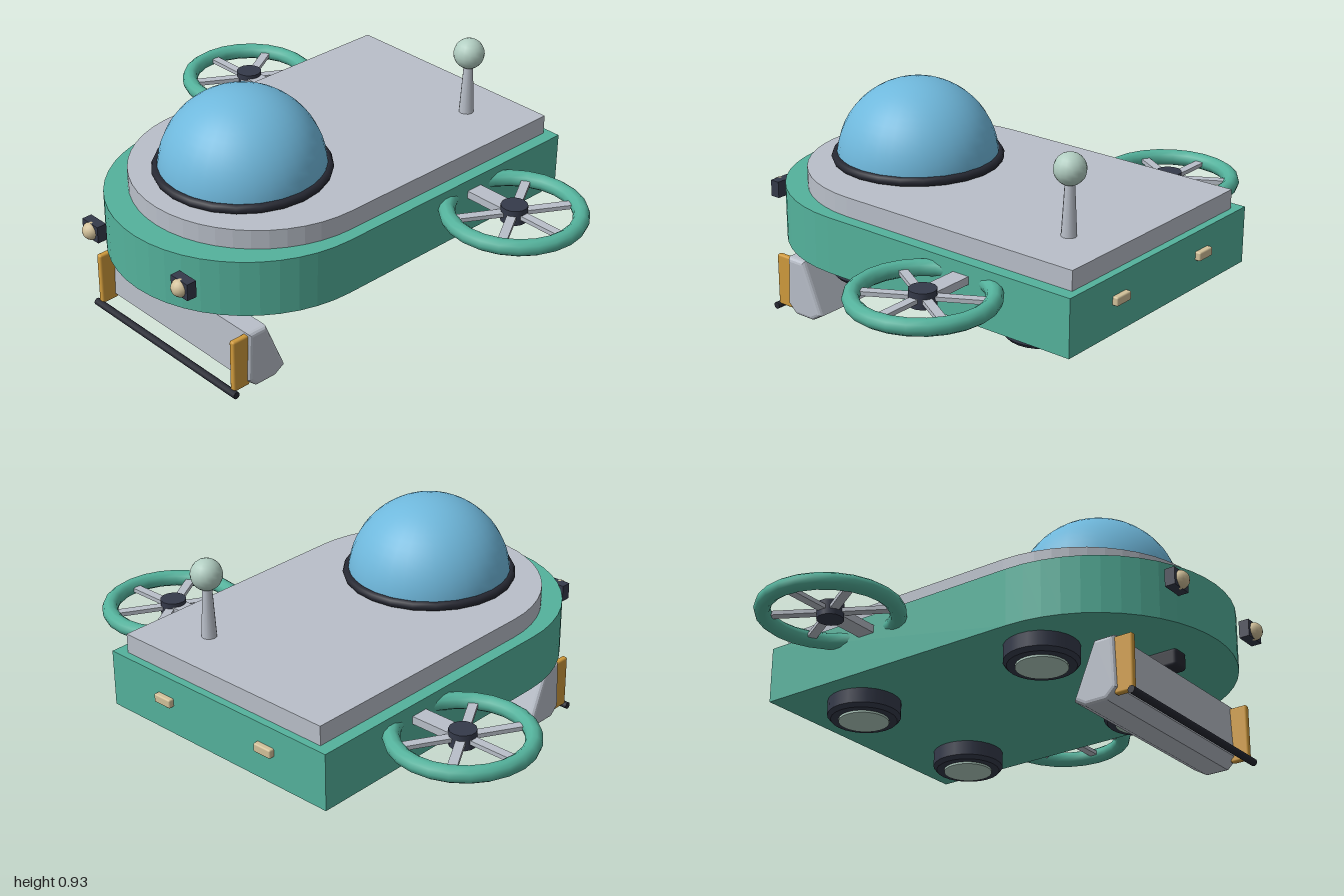
import * as THREE from 'three';
import { RoundedBoxGeometry } from 'three/addons/geometries/RoundedBoxGeometry.js';

const paint = (name, color) => {
  const m = new THREE.MeshStandardMaterial({ color });
  m.name = name;
  return m;
};

// Slab with a square rear and a semicircular nose, lying on y = 0
function noseSlab(half, rear, front, height) {
  const centre = front - half;
  const s = new THREE.Shape();
  s.moveTo(-half, -rear);
  s.lineTo(-half, -centre);
  s.absarc(0, -centre, half, Math.PI, Math.PI * 2, false);
  s.lineTo(half, -rear);
  s.closePath();
  const g = new THREE.ExtrudeGeometry(s, { depth: height, bevelEnabled: false, curveSegments: 12 });
  return g.rotateX(-Math.PI / 2);
}

export function createModel() {
  const model = new THREE.Group();
  model.name = 'hoverRover';

  const green = paint('hull green', 0x54b29c);
  const grey = paint('light grey', 0xb9bfc9);
  const blue = paint('dome blue', 0x6fb8dc);
  const slate = paint('dark slate', 0x353a4a);
  const black = paint('near black', 0x262832);
  const amber = paint('amber', 0xcf9a3c);
  const cream = paint('lamp cream', 0xd2c19a);
  const mint = paint('pale mint', 0xb2cec2);

  const add = (name, geo, mat, x = 0, y = 0, z = 0, parent = model) => {
    const m = new THREE.Mesh(geo, mat);
    m.name = name;
    m.position.set(x, y, z);
    parent.add(m);
    return m;
  };

  // Hull and deck
  add('hull', noseSlab(0.53, -0.83, 0.805, 0.22), green, 0, 0.32, 0);
  add('deck', noseSlab(0.48, -0.8, 0.705, 0.075), grey, 0, 0.54, 0);

  // Cockpit dome and its seal
  add('dome', new THREE.SphereGeometry(0.31, 32, 14, 0, Math.PI * 2, 0, Math.PI / 2), blue, 0, 0.62, 0.305);
  add('domeSeal', new THREE.TorusGeometry(0.313, 0.018, 8, 24).rotateX(Math.PI / 2), black, 0, 0.632, 0.305);

  // Antenna
  add('antennaMast', new THREE.CylinderGeometry(0.018, 0.029, 0.2, 12), grey, 0.25, 0.71, -0.61);
  add('antennaBall', new THREE.SphereGeometry(0.059, 16, 12), mint, 0.25, 0.86, -0.61);

  // Side fans: guard ring, hub, crossed blades and a strut to the hull
  for (const side of [1, -1]) {
    const fan = new THREE.Group();
    fan.name = side > 0 ? 'leftFan' : 'rightFan';
    fan.position.set(side * 0.725, 0.48, -0.36);
    model.add(fan);
    add('guardRing', new THREE.TorusGeometry(0.243, 0.031, 10, 24).rotateX(Math.PI / 2), green, 0, 0, 0, fan);
    add('hub', new THREE.CylinderGeometry(0.05, 0.05, 0.06, 14), slate, 0, 0, 0, fan);
    for (let i = 0; i < 3; i++) {
      const blade = add('blade', new THREE.BoxGeometry(0.47, 0.016, 0.034), grey, 0, 0, 0, fan);
      blade.rotation.y = i * Math.PI / 3;
    }
    add('strut', new THREE.BoxGeometry(0.22, 0.03, 0.07), grey, -side * 0.11, 0, 0, fan);
  }

  // Flat underside wheels
  const tyreProfile = [[0.09, 0], [0.125, 0], [0.138, 0.015], [0.138, 0.075], [0.125, 0.085], [0, 0.085]]
    .map(([r, y]) => new THREE.Vector2(r, y));
  const tyreSteps = tyreProfile.slice(0, -1).map((p, i) => [p, tyreProfile[i + 1]]);
  for (const x of [0.316, -0.316]) {
    for (const z of [0.275, -0.545]) {
      const wheel = new THREE.Group();
      wheel.name = 'wheel';
      wheel.position.set(x, 0.248, z);
      model.add(wheel);
      // One band per profile step keeps the edges crisp
      for (const step of tyreSteps) add('tyreBand', new THREE.LatheGeometry(step, 24), slate, 0, 0, 0, wheel);
      add('hubCap', new THREE.CylinderGeometry(0.095, 0.095, 0.05, 24), mint, 0, 0.017, 0, wheel);
    }
  }

  // Headlights and rear lights
  for (const x of [0.25, -0.25]) {
    add('headlightHousing', new THREE.BoxGeometry(0.088, 0.066, 0.04), slate, x, 0.45, 0.795);
    add('headlightLens', new THREE.SphereGeometry(0.034, 14, 10), cream, x, 0.45, 0.81);
    add('rearLight', new RoundedBoxGeometry(0.08, 0.034, 0.03, 2, 0.006), cream, x, 0.447, -0.836);
  }

  // Arm under the nose
  add('scoopArm', new RoundedBoxGeometry(0.074, 0.072, 0.186, 2, 0.015), black, 0, 0.29, 0.56);

  // Scoop: bevelled profile swept across the width
  const profile = new THREE.Shape([[0.615, 0.225], [0.558, 0.225], [0.482, 0.042], [0.515, 0.022], [0.592, 0.022], [0.622, 0.05]]
    .map(([z, y]) => new THREE.Vector2(-z, y)));
  const scoop = new THREE.ExtrudeGeometry(profile, {
    depth: 0.764, bevelThickness: 0.018, bevelSize: 0.016, bevelSegments: 3
  });
  scoop.translate(0, 0, -0.382).rotateY(Math.PI / 2);
  // rotateY sends the profile's -z axis to +z
  add('scoop', scoop, grey);

  // Scoop side plates and cutting bar
  for (const x of [0.378, -0.378]) {
    add('sidePlate', new RoundedBoxGeometry(0.024, 0.212, 0.075, 2, 0.008), amber, x, 0.128, 0.66);
  }
  add('cuttingBar', new THREE.CylinderGeometry(0.014, 0.014, 0.805, 10).rotateZ(Math.PI / 2), black, 0, 0.017, 0.698);

  return model;
}
